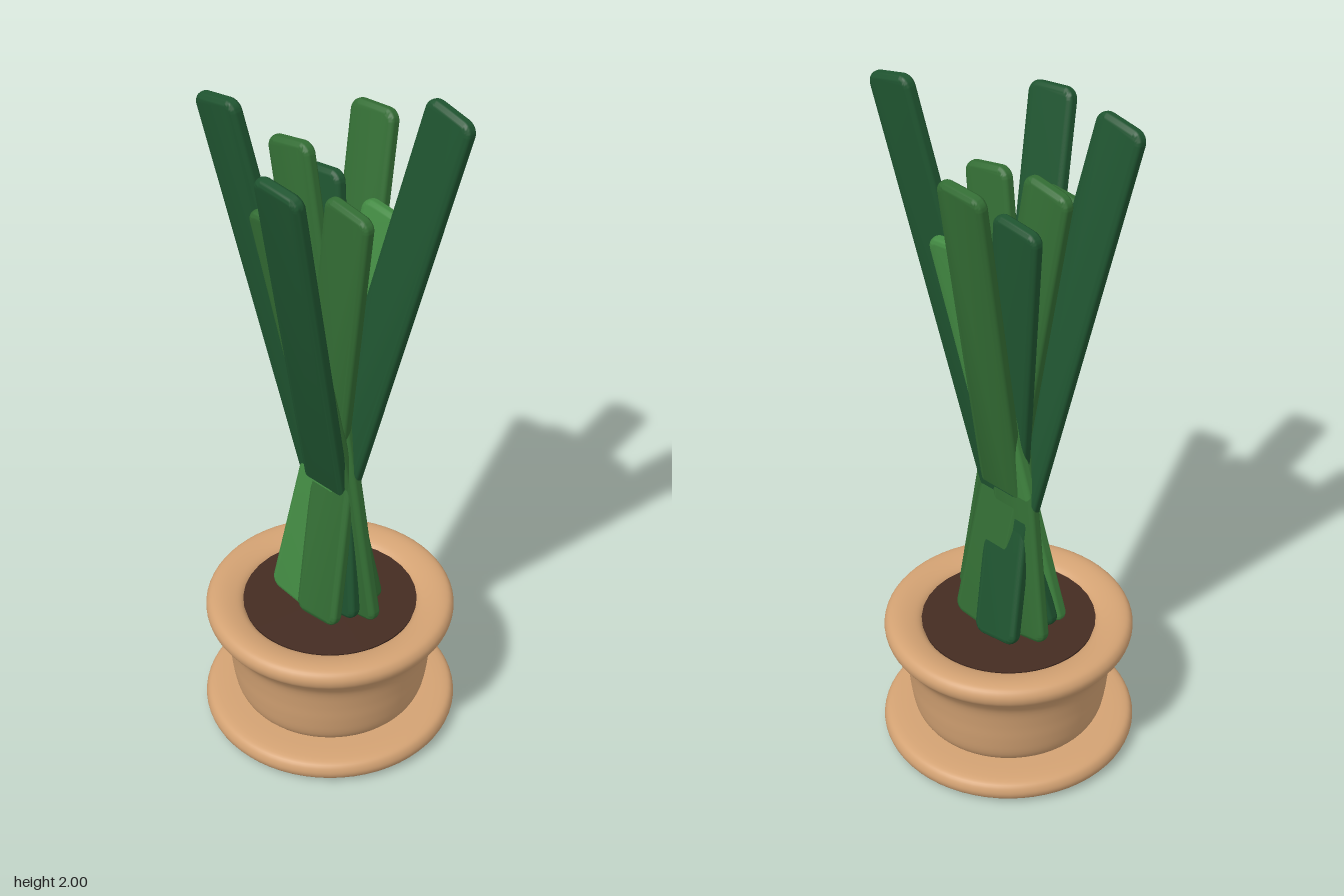
import * as THREE from 'three';
import { toCreasedNormals } from 'three/addons/utils/BufferGeometryUtils.js';

const mat = (name, color) => {
  const m = new THREE.MeshStandardMaterial({ color });
  m.name = name;
  return m;
};

// Solid of revolution through a smooth curve
function turned(name, points, material) {
  const curve = new THREE.CatmullRomCurve3(points.map(([r, y]) => new THREE.Vector3(r, y, 0)), false, 'centripetal');
  const profile = curve.getPoints(points.length * 4).map(p => new THREE.Vector2(Math.max(p.x, 0), p.y));
  const mesh = new THREE.Mesh(new THREE.LatheGeometry(profile, 64), material);
  mesh.name = name;
  return mesh;
}

// Flat strap with rounded corners and soft edges, centred on the origin
function strapGeometry(length, width = 0.152, thick = 0.036) {
  const b = thick / 2 - 0.002;
  const w = width / 2 - b, h = length / 2 - b, r = 0.018;
  const s = new THREE.Shape();
  s.moveTo(-w + r, -h);
  s.lineTo(w - r, -h);
  s.absarc(w - r, -h + r, r, -Math.PI / 2, 0);
  s.lineTo(w, h - r);
  s.absarc(w - r, h - r, r, 0, Math.PI / 2);
  s.lineTo(-w + r, h);
  s.absarc(-w + r, h - r, r, Math.PI / 2, Math.PI);
  s.lineTo(-w, -h + r);
  s.absarc(-w + r, -h + r, r, Math.PI, Math.PI * 1.5);
  const g = new THREE.ExtrudeGeometry(s, {
    depth: 0.004, bevelEnabled: true, bevelSize: b, bevelThickness: b, bevelSegments: 5, curveSegments: 5,
  });
  g.translate(0, 0, -0.002);
  return toCreasedNormals(g, 0.8);
}

// Leaf running from its foot to its tip, broad face towards the front
function leaf(foot, tip, material) {
  const a = new THREE.Vector3(...foot), b = new THREE.Vector3(...tip);
  const up = b.clone().sub(a);
  const length = up.length();
  up.normalize();
  const side = new THREE.Vector3(1, 0, 0).addScaledVector(up, -up.x).normalize();
  const face = side.clone().cross(up);
  const mesh = new THREE.Mesh(strapGeometry(length), material);
  mesh.quaternion.setFromRotationMatrix(new THREE.Matrix4().makeBasis(side, up, face));
  mesh.position.copy(a).add(b).multiplyScalar(0.5);
  mesh.name = 'leaf';
  return mesh;
}

export function createModel() {
  const model = new THREE.Group();
  model.name = 'pottedPlant';
  const clay = mat('clay', 0xd3a273);
  const earth = mat('soil', 0x452c22);
  const dark = mat('darkGreen', 0x1f5430);
  const mid = mat('midGreen', 0x336d34);
  const bright = mat('brightGreen', 0x438b43);

  // Pot, saucer and soil
  const pot = new THREE.Group();
  pot.name = 'pot';
  pot.position.x = -0.008;
  pot.add(turned('saucer', [
    [0, 0], [0.2, 0], [0.325, 0.003], [0.35, 0.014], [0.359, 0.036], [0.35, 0.059], [0.325, 0.068], [0.2, 0.068], [0, 0.068],
  ], clay));
  pot.add(turned('bowl', [
    [0.225, 0.06], [0.25, 0.073], [0.268, 0.1], [0.28, 0.16], [0.287, 0.22], [0.3, 0.285], [0.325, 0.325],
    [0.346, 0.352], [0.349, 0.375], [0.338, 0.393], [0.315, 0.4], [0.28, 0.396], [0.25, 0.383], [0.236, 0.36],
  ], clay));
  const soil = new THREE.Mesh(new THREE.CylinderGeometry(0.245, 0.235, 0.03, 32), earth);
  soil.name = 'soil';
  soil.position.y = 0.366;
  pot.add(soil);
  model.add(pot);

  // Leaves cross at a waist and fan out: foot x, foot z, tip x, tip y, tip z, colour
  const leaves = new THREE.Group();
  leaves.name = 'leaves';
  [
    [0.03, -0.06, -0.235, 1.935, 0.163, dark],
    [-0.085, 0.04, 0.288, 1.985, -0.115, dark],
    [-0.06, -0.1, 0.12, 1.875, 0.295, dark],
    [0.06, 0.035, -0.112, 1.7, -0.073, dark],
    [0.04, 0.093, -0.067, 1.835, -0.222, mid],
    [0.04, -0.08, -0.048, 1.675, 0.164, mid],
    [0.108, 0, -0.148, 1.79, 0, mid],
    [-0.115, -0.035, 0.13, 1.73, 0.067, mid],
    [-0.08, 0.078, 0.055, 1.615, -0.142, bright],
  ].forEach(([fx, fz, tx, ty, tz, m]) => leaves.add(leaf([fx, 0.39, fz], [tx, ty, tz], m)));
  model.add(leaves);
  return model;
}
